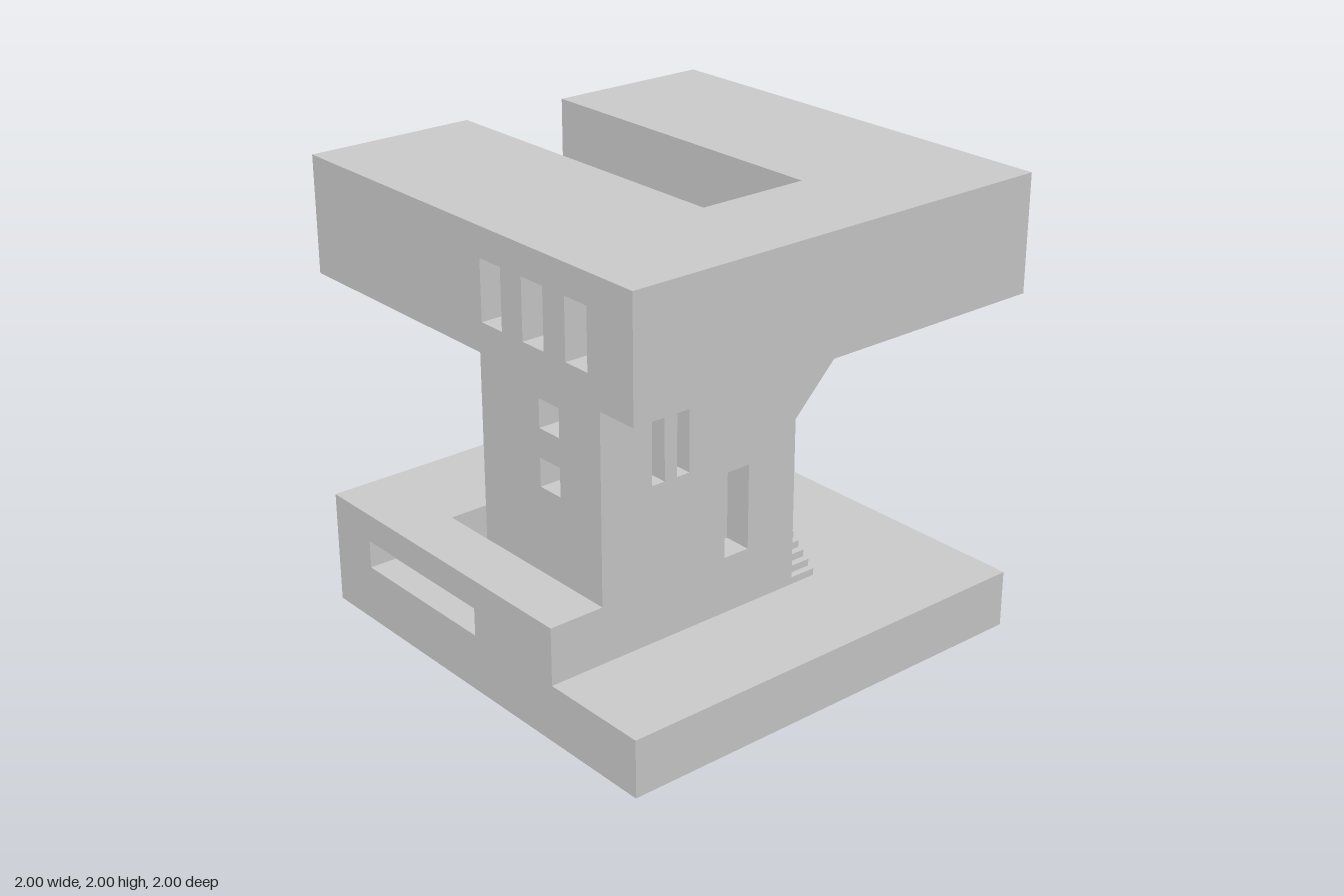
import * as THREE from 'three';

const material = new THREE.MeshStandardMaterial({ color: 0xcccccc });
const vec = ([x, y]) => new THREE.Vector2(x, y);

// Corners of a rectangle, used for window and door openings
const rect = (x0, y0, x1, y1) => [[x0, y0], [x1, y0], [x1, y1], [x0, y1]];

// Outline points of a flight of steps, each a riser followed by a tread
function steps(count, x, y, run, rise) {
  const pts = [];
  for (let i = 0; i < count; i++) {
    pts.push([x + run * i, y + rise * (i + 1)], [x + run * (i + 1), y + rise * (i + 1)]);
  }
  return pts;
}

export function createModel() {
  const model = new THREE.Group();

  // Extrude an outline from 'start' to 'end' along an axis.
  // Outlines are (x, y) along z, (-z, y) along x, and (x, -z) along y.
  function solid(name, axis, start, end, outline, holes = []) {
    const shape = new THREE.Shape(outline.map(vec));
    shape.holes = holes.map((h) => new THREE.Path(h.map(vec)));
    const geo = new THREE.ExtrudeGeometry(shape, { depth: end - start, bevelEnabled: false });
    geo.translate(0, 0, start);
    if (axis === 'x') geo.rotateY(Math.PI / 2);
    if (axis === 'y') geo.rotateX(-Math.PI / 2);
    const mesh = new THREE.Mesh(geo, material);
    mesh.name = name;
    model.add(mesh);
  }

  function box(name, x0, x1, y0, y1, z0, z1) {
    const mesh = new THREE.Mesh(new THREE.BoxGeometry(x1 - x0, y1 - y0, z1 - z0), material);
    mesh.position.set((x0 + x1) / 2, (y0 + y1) / 2, (z0 + z1) / 2);
    mesh.name = name;
    model.add(mesh);
  }

  const D = 0.125; // depth of every recess

  // Base slab and the L-shaped terrace, with a slot recessed in the side
  box('base', -1 + D, 1, 0, 0.25, -1, 1);
  solid('terraceSide', 'x', -1, -1 + D,
    [[-1, 0], [1, 0], [1, 0.5], [-0.5, 0.5], [-0.5, 0.25], [-1, 0.25]],
    [rect(0, 0.25, 0.75, 0.375)]);
  solid('terrace', 'y', 0.25, 0.5,
    [[-1 + D, -0.5], [-0.75, -0.5], [-0.75, 0.5], [0.5, 0.5], [0.5, 1], [-1 + D, 1]]);
  solid('terraceStairs', 'z', -0.875, -0.75,
    [[0.5, 0.25], [0.75, 0.25], ...steps(8, 0.75, 0.25, -1 / 32, 1 / 32)]);

  // Main house: front wall with door and slit windows
  solid('frontWall', 'z', 0.5 - D, 0.5,
    [[-0.75, 0.25], [0.25, 0.25], [0.25, 1], [0.5, 1.25], [0.5, 1.5], [-0.75, 1.5]],
    [rect(-0.125, 0.5, 0, 0.875),
      rect(-0.5, 0.9375, -0.4375, 1.25),
      rect(-0.375, 0.9375, -0.3125, 1.25)]);
  // Side wall with two square windows
  solid('sideWall', 'x', -0.75, -0.75 + D, rect(-0.375, 0.25, 0, 1.5),
    [rect(-0.25, 0.875, -0.125, 1), rect(-0.25, 1.125, -0.125, 1.25)]);
  // Core with the sloping overhang, and the recessed top above it
  solid('houseCore', 'z', 0, 0.5 - D,
    [[-0.625, 0.25], [0.25, 0.25], [0.25, 1], [0.5, 1.25], [0.5, 1.375], [-0.625, 1.375]]);
  solid('houseTop', 'y', 1.375, 1.5,
    [[-0.625, 0], [0.5, 0], [0.5, -0.375], [0.125, -0.375],
      [0.125, -0.125], [-0.5, -0.125], [-0.5, -0.375], [-0.625, -0.375]]);

  // Rear wing carrying the upper stairs, and the flight leading to its landing
  solid('upperStairs', 'z', -0.25, 0,
    [[-0.75, 0.25], [0.375, 0.25], [0.375, 0.75], [0.25, 0.75],
      ...steps(8, 0.25, 0.75, -1 / 16, 1 / 16), [-0.25, 1.5], [-0.75, 1.5]]);
  solid('sideStairs', 'x', 0.25, 0.375,
    [[0, 0.25], [-0.5, 0.25], ...steps(16, -0.5, 0.25, 1 / 32, 1 / 32)]);

  // Pillar standing half on the terrace
  box('pillar', 0.25, 0.75, 0.25, 1.5, -0.75, -0.5);

  // U-shaped roof block with recessed openings in both sides
  solid('roof', 'y', 1.5, 2,
    [[-1 + D, -1], [1 - D, -1], [1 - D, 1], [0.25, 1],
      [0.25, -0.5], [-0.25, -0.5], [-0.25, 1], [-1 + D, 1]]);
  solid('roofSlotSide', 'x', 1 - D, 1, rect(-1, 1.5, 1, 2), [rect(0, 1.75, 0.75, 1.875)]);
  solid('roofWindowSide', 'x', -1, -1 + D, rect(-1, 1.5, 1, 2),
    [0.125, 0.375, 0.625].map((z) => rect(-z - 0.125, 1.625, -z, 1.875)));

  return model;
}
